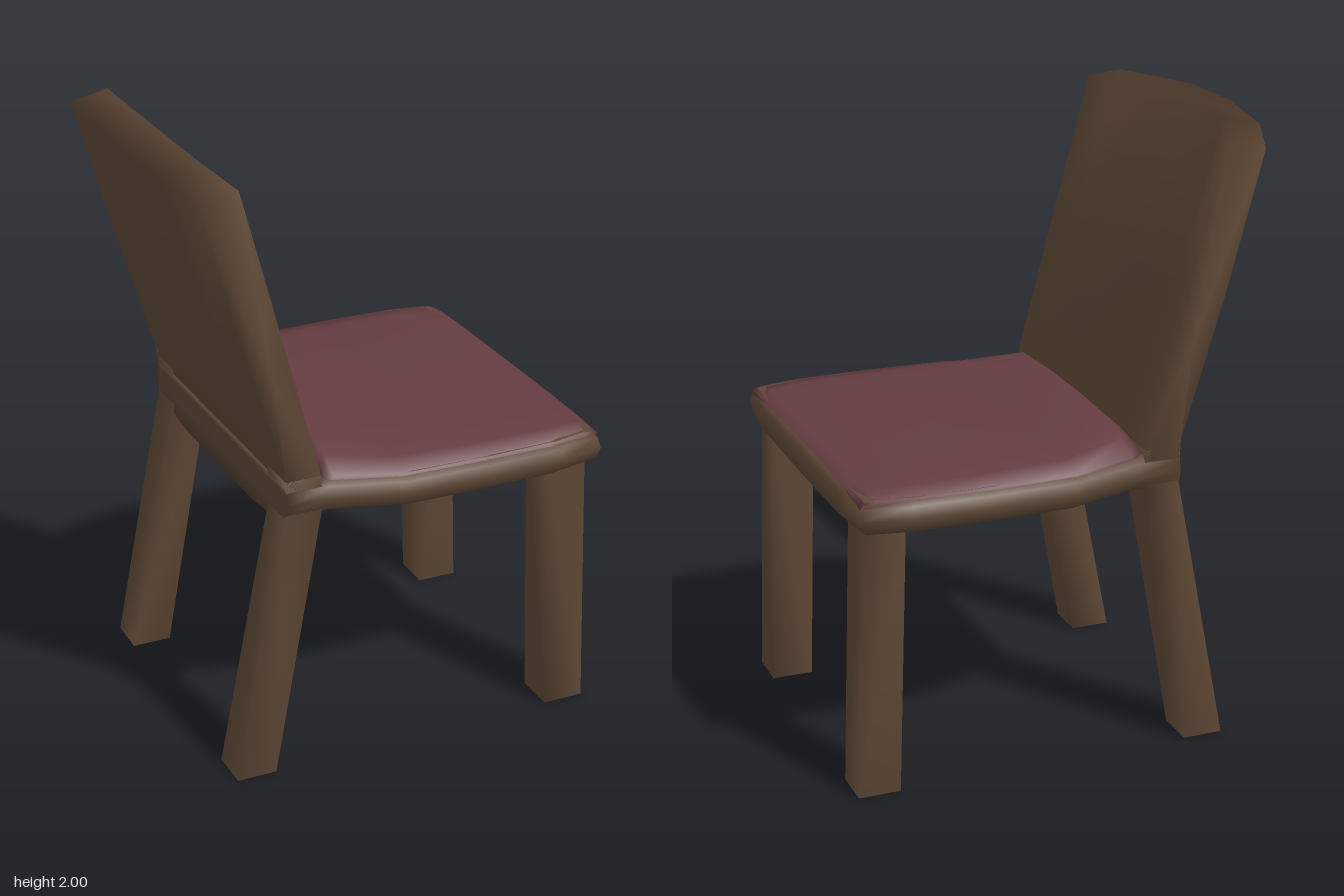
import * as THREE from 'three';

const wood = new THREE.MeshStandardMaterial({ color: 0x5f4836 });
const fabric = new THREE.MeshStandardMaterial({ color: 0x643c41 });

// Smooth solid skinned over equal-length rings of [x, y, z], closed at both ends
function loft(name, rings, material) {
  const n = rings[0].length, last = rings.length - 1;
  const points = rings.flat().map((p) => new THREE.Vector3(...p));
  const index = [];
  for (let r = 0; r < last; r++) {
    for (let i = 0; i < n; i++) {
      const j = (i + 1) % n, a = r * n + i, b = r * n + j;
      index.push(a, b, b + n, a, b + n, a + n);
    }
  }
  for (const r of [0, last]) {
    const centre = new THREE.Vector3();
    for (let i = 0; i < n; i++) centre.addScaledVector(points[r * n + i], 1 / n);
    const c = points.push(centre) - 1;
    for (let i = 0; i < n; i++) {
      const a = r * n + i, b = r * n + (i + 1) % n;
      if (r === 0) index.push(c, b, a);
      else index.push(c, a, b);
    }
  }
  // Turn the faces outward if the rings ran the other way
  let volume = 0;
  const cross = new THREE.Vector3();
  for (let i = 0; i < index.length; i += 3) {
    volume += points[index[i]].dot(cross.crossVectors(points[index[i + 1]], points[index[i + 2]]));
  }
  if (volume < 0) index.reverse();
  const geometry = new THREE.BufferGeometry().setFromPoints(points);
  geometry.setIndex(index);
  geometry.computeVertexNormals();
  const mesh = new THREE.Mesh(geometry, material);
  mesh.name = name;
  return mesh;
}

// Square leg: each level is [y, xBack, xFront]
function leg(name, side, levels) {
  const z0 = 0.385 * side, z1 = 0.52 * side;
  return loft(name, levels.map(([y, a, b]) => [[a, y, z0], [b, y, z0], [b, y, z1], [a, y, z1]]), wood);
}

export function createModel() {
  const chair = new THREE.Group();
  chair.name = 'chair';

  // Legs
  for (const side of [1, -1]) {
    const label = side > 0 ? 'Left' : 'Right';
    chair.add(leg('frontLeg' + label, side, [[0, 0.55, 0.685], [0.92, 0.52, 0.655]]));
    chair.add(leg('backLeg' + label, side, [[0, -0.54, -0.41], [0.9, -0.365, -0.25], [1.0, -0.372, -0.255]]));
  }

  // Seat frame: half outline [x, z], mirrored, then stacked with a rounded rim and sagging underside
  const half = [[-0.37, 0.53], [-0.24, 0.53], [0, 0.603], [0.28, 0.61], [0.53, 0.605], [0.68, 0.575], [0.697, 0.4], [0.7, 0.13]];
  const outline = [...half, ...half.map(([x, z]) => [x, -z]).reverse()];
  const midX = 0.16;
  const layers = [[0.5, 0.826], [0.75, 0.842], [0.94, 0.87], [0.985, 0.89], [1, 0.925], [0.985, 0.96], [0.95, 0.982]];
  chair.add(loft('seatFrame', layers.map(([s, y]) =>
    outline.map(([x, z]) => [x < -0.3 ? x : midX + (x - midX) * s, y, z * s])), wood));

  // Cushion: cross-sections along x as [x, halfWidth, edgeY, crownY]
  const sections = [
    [-0.25, 0.5, 0.985, 1.025], [-0.21, 0.515, 0.985, 1.065], [0, 0.58, 0.98, 1.026], [0.26, 0.588, 0.98, 1.013],
    [0.5, 0.585, 0.98, 1.006], [0.63, 0.565, 0.98, 0.995], [0.675, 0.555, 0.972, 0.982],
  ];
  const crown = [[1, 0], [0.86, 0.5], [0.7, 0.85], [0.25, 1], [-0.25, 1], [-0.7, 0.85], [-0.86, 0.5], [-1, 0]];
  chair.add(loft('cushion', sections.map(([x, w, edge, top]) => [
    ...crown.map(([z, lift]) => [x, edge + (top - edge) * lift, z * w]),
    [x, 0.93, -w], [x, 0.93, w],
  ]), fabric));

  // Backrest: profiles across z, bowed backward and crowned toward the middle
  const bows = [[0.52, 0, 0], [0.38, 0.05, 0.04], [0.13, 0.073, 0.06]];
  const stations = [...bows, ...bows.map(([z, b, h]) => [-z, b, h]).reverse()];
  chair.add(loft('backrest', stations.map(([z, bow, rise]) => [
    [-0.25, 0.9, z],
    [-0.26, 1.02, z],
    [-0.38 - bow * 0.5, 1.47, z],
    [-0.507 - bow, 1.94 + rise, z],
    [-0.63 - bow, 1.91 + rise, z],
    [-0.51 - bow * 0.55, 1.47, z],
    [-0.372, 1.02, z],
    [-0.36, 0.9, z],
  ]), wood));

  return chair;
}
